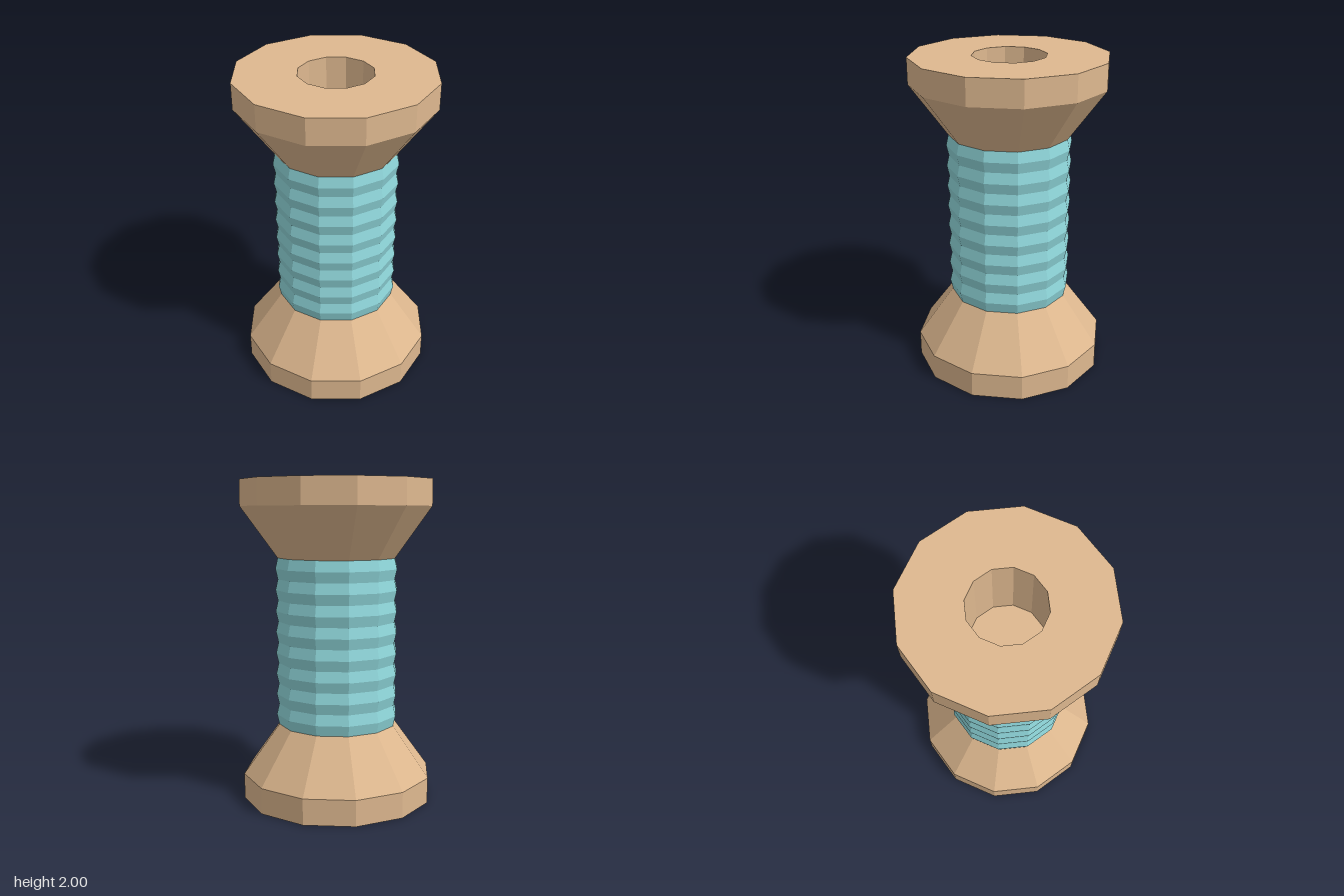
import * as THREE from 'three';

const SIDES = 12;

function turned(name, profile, color) {
  const points = profile.map(([r, y]) => new THREE.Vector2(r, y));
  const material = new THREE.MeshStandardMaterial({ color, flatShading: true });
  const mesh = new THREE.Mesh(new THREE.LatheGeometry(points, SIDES), material);
  mesh.name = name;
  return mesh;
}

export function createModel() {
  const spool = new THREE.Group();
  spool.name = 'threadSpool';

  // Wooden ends: hole floor, hole wall, flat face, rim, then cone up to the thread
  const endProfile = [
    [0, 0.47], [0.225, 0.47], [0.225, 0], [0.6, 0], [0.6, 0.16], [0.372, 0.475],
  ];
  const lowerEnd = turned('lowerEnd', endProfile, 0xdeb88f);
  const upperEnd = turned('upperEnd', endProfile, 0xdeb88f);
  upperEnd.rotation.x = Math.PI;
  upperEnd.position.y = 2;

  // Wound thread: eight ridges between the ends
  const rows = 16, bottom = 0.475, top = 1.525;
  const threadProfile = [];
  for (let i = 0; i <= rows; i++) {
    threadProfile.push([i % 2 ? 0.387 : 0.372, bottom + (top - bottom) * i / rows]);
  }
  const thread = turned('thread', threadProfile, 0x8fd6da);

  spool.add(lowerEnd, upperEnd, thread);
  return spool;
}
